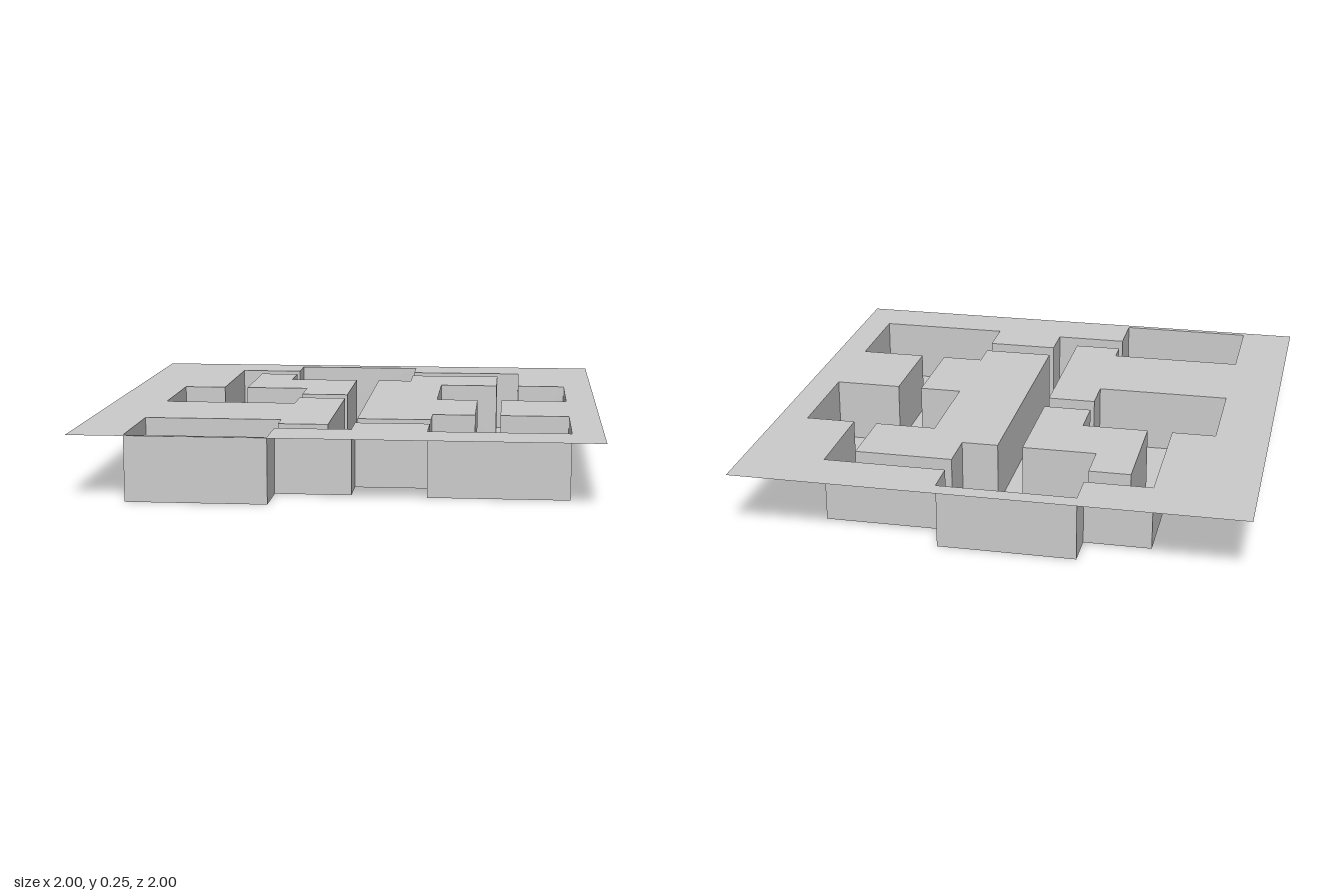
import * as THREE from 'three';

const H = 0.255; // height of the top sheet above the sunken floor

// Rectilinear loops: a start corner, then alternating new x and new z values.
function loop(x, z, ...steps) {
  const points = [[x, z]];
  steps.forEach((v, i) => {
    if (i % 2 === 0) x = v; else z = v;
    points.push([x, z]);
  });
  return points;
}

const trenchOutline = loop(-0.345, -0.93,
  0.195, -0.785, 0.68, -0.395, 0.88, 0.02, 0.61, 0.41, 0.88, 0.8,
  0.34, 0.63, 0.05, 0.78, -0.245, 0.975, -0.785, 0.585, -0.245, 0.68,
  -0.05, 0.02, -0.245, 0.17, -0.785, -0.245, -0.61, -0.785, -0.345);
const leftIsland = loop(-0.51, -0.685,
  -0.345, -0.515, -0.05, -0.075, -0.245, -0.245, -0.51);
const rightIsland = loop(0.05, -0.515,
  0.195, -0.685, 0.585, -0.395, 0.34, 0.02, 0.51, 0.41, 0.34, 0.535, 0.05);

export function createModel() {
  const group = new THREE.Group();
  const material = new THREE.MeshStandardMaterial({
    color: 0xcccccc, flatShading: true, side: THREE.DoubleSide,
  });
  const add = (name, geometry) => {
    const mesh = new THREE.Mesh(geometry, material);
    mesh.name = name;
    group.add(mesh);
  };
  const toVectors = (points) => points.map(([x, z]) => new THREE.Vector2(x, -z));

  // Horizontal sheet at height y, with optional openings
  const sheet = (name, y, outline, holes = []) => {
    const shape = new THREE.Shape(toVectors(outline));
    shape.holes = holes.map((h) => new THREE.Path(toVectors(h)));
    add(name, new THREE.ShapeGeometry(shape).rotateX(-Math.PI / 2).translate(0, y, 0));
  };

  // Vertical walls along a closed loop, one separate quad per side
  const walls = (name, points) => {
    const positions = [];
    points.forEach(([x0, z0], i) => {
      const [x1, z1] = points[(i + 1) % points.length];
      positions.push(x0, 0, z0, x0, H, z0, x1, H, z1);
      positions.push(x0, 0, z0, x1, H, z1, x1, 0, z1);
    });
    const geometry = new THREE.BufferGeometry();
    geometry.setAttribute('position', new THREE.Float32BufferAttribute(positions, 3));
    geometry.computeVertexNormals();
    add(name, geometry);
  };

  // Square ground sheet, opened over the rooms and corridors
  sheet('groundSheet', H, [[-1, -1], [1, -1], [1, 1], [-1, 1]], [trenchOutline]);

  // Sunken floor of rooms and corridors, with its outer walls
  sheet('sunkenFloor', 0, trenchOutline, [leftIsland, rightIsland]);
  walls('outerWalls', trenchOutline);

  // Islands enclosed by the corridors
  sheet('leftIslandTop', H, leftIsland);
  walls('leftIslandWalls', leftIsland);
  sheet('rightIslandTop', H, rightIsland);
  walls('rightIslandWalls', rightIsland);

  return group;
}
